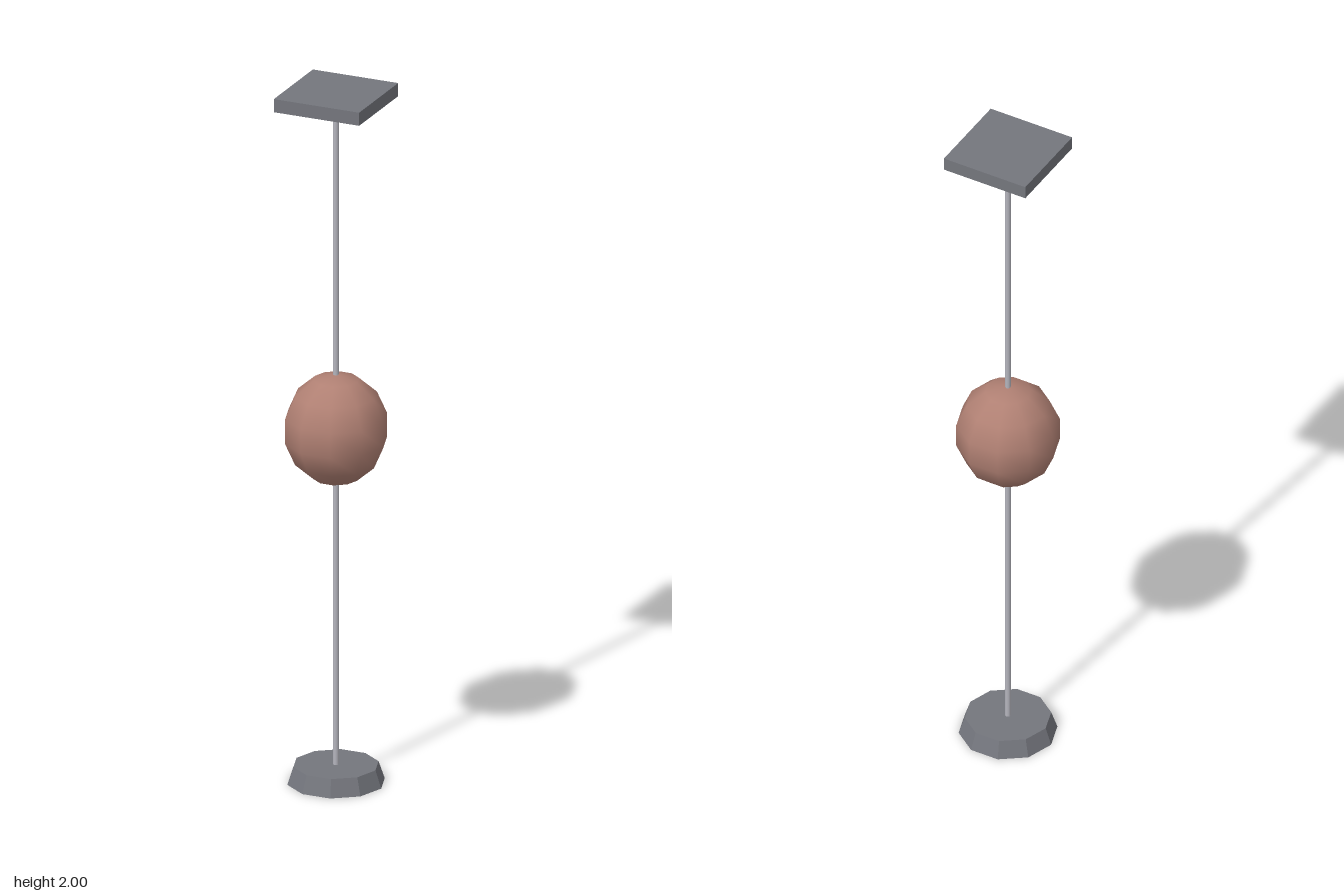
import * as THREE from 'three';

export function createModel() {
  const model = new THREE.Group();
  const material = (name, color, flatShading = false) => {
    const m = new THREE.MeshStandardMaterial({ color, flatShading });
    m.name = name;
    return m;
  };
  const slate = material('slate grey', 0x74767d, true);
  const steel = material('pale steel', 0xb6b6be);
  const leather = material('brown leather', 0xb08073);

  const add = (name, geometry, mat, y) => {
    const mesh = new THREE.Mesh(geometry, mat);
    mesh.name = name;
    mesh.position.y = y;
    model.add(mesh);
    return mesh;
  };

  // Square plate at the top
  add('topPlate', new THREE.BoxGeometry(0.255, 0.038, 0.255), slate, 1.981);

  // Ten-sided tapered foot, corners on the x axis
  add('base', new THREE.CylinderGeometry(0.118, 0.135, 0.05, 10, 1, false, Math.PI / 2), slate, 0.025);

  // Thin cords joining the ball to the plate and the foot
  const cord = (name, y0, y1) =>
    add(name, new THREE.CylinderGeometry(0.008, 0.008, y1 - y0, 8, 1, true), steel, (y0 + y1) / 2);
  cord('lowerCord', 0.045, 0.9);
  cord('upperCord', 1.15, 1.965);

  // Slightly tall ball
  const ball = add('ball', new THREE.SphereGeometry(1, 10, 7), leather, 1.023);
  ball.scale.set(0.145, 0.158, 0.145);

  return model;
}
